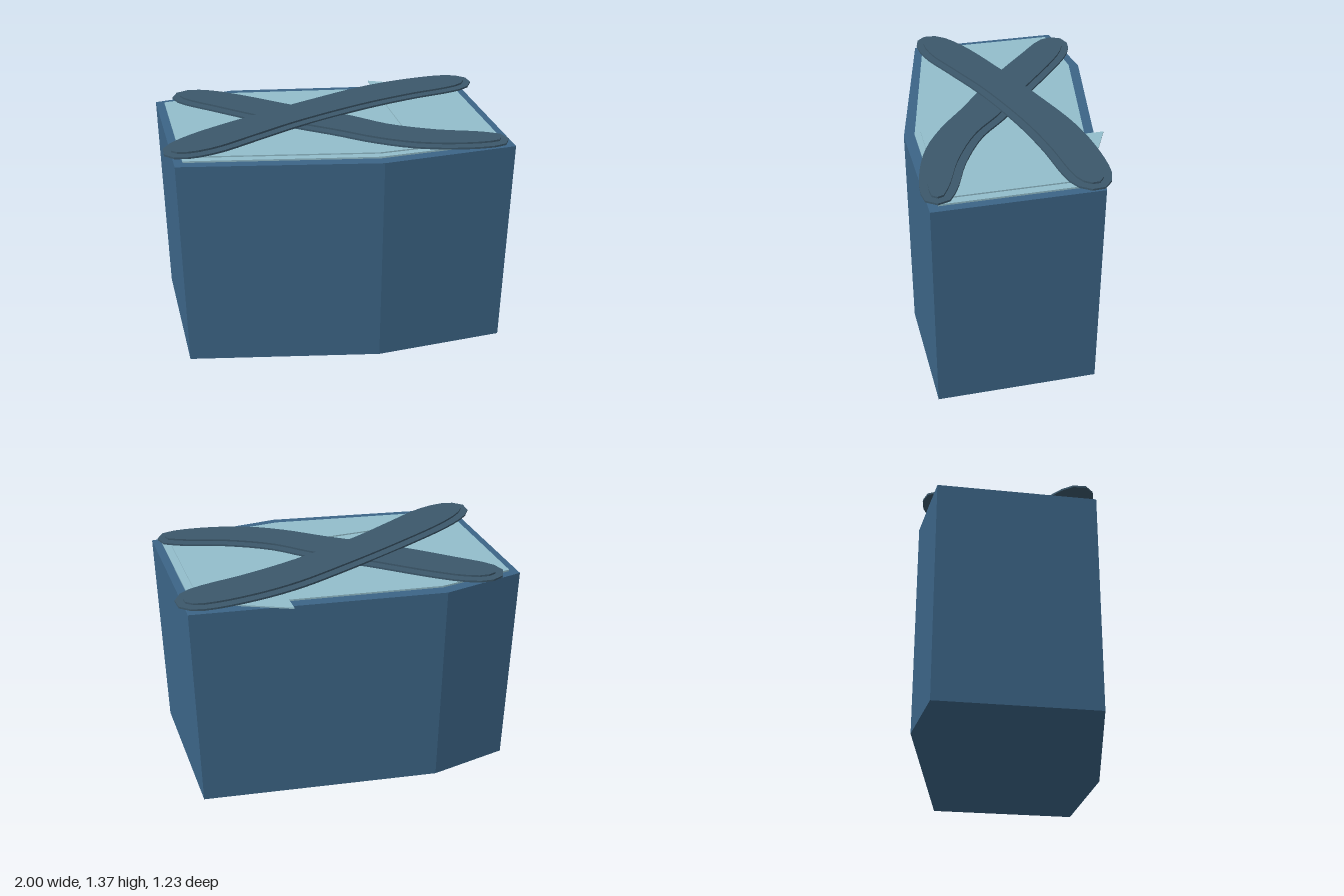
import * as THREE from 'three';

const mat = (name, color) => {
  const m = new THREE.MeshStandardMaterial({ color });
  m.name = name;
  return m;
};

// Upright slab from a plan outline given as [x, z] corners
function slab(name, outline, y, height, material) {
  const shape = new THREE.Shape(outline.map(([x, z]) => new THREE.Vector2(x, -z)));
  const geo = new THREE.ExtrudeGeometry(shape, { depth: height, bevelEnabled: false });
  geo.rotateX(-Math.PI / 2);
  geo.translate(0, y, 0);
  const mesh = new THREE.Mesh(geo, material);
  mesh.name = name;
  return mesh;
}

// Closed smooth outline through clockwise plan points
function smooth(points, samples) {
  const curve = new THREE.CatmullRomCurve3(points.map(([x, z]) => new THREE.Vector3(x, 0, z)), true, 'centripetal');
  return curve.getSpacedPoints(samples).slice(0, samples).map((p) => [p.x, p.z]);
}

// Move every outline point inward along its normal
function inset(outline, d) {
  const n = outline.length;
  return outline.map(([x, z], i) => {
    const a = outline[(i + n - 1) % n], b = outline[(i + 1) % n];
    const dx = b[0] - a[0], dz = b[1] - a[1], l = Math.hypot(dx, dz);
    return [x - (dz / l) * d, z + (dx / l) * d];
  });
}

export function createModel() {
  const model = new THREE.Group();
  model.name = 'block';
  const bodyBlue = mat('bodyBlue', 0x3c6587);
  const paleBlue = mat('paleBlue', 0x92bdcb);
  const slateBlue = mat('slateBlue', 0x3c586b);

  // Six-sided body
  model.add(slab('body', [
    [-0.957, -0.55], [-0.47, -0.613], [0.955, -0.35], [0.953, 0.588], [0.17, 0.605], [-0.957, 0.363],
  ], 0, 1.31, bodyBlue));

  // Pale top sheet
  model.add(slab('topSheet', [
    [-0.908, -0.51], [-0.47, -0.55], [0.905, -0.305], [0.905, 0.537], [0.17, 0.543], [-0.908, 0.322],
  ], 1.31, 0.01, paleBlue));

  // Angled sheet above it, with a corner overhanging the back
  model.add(slab('cornerSheet', [
    [0.4, -0.505], [0.862, -0.28], [0.862, 0.51], [0.17, 0.508], [-0.86, 0.295], [-0.75, 0.2], [0.4, 0.25],
  ], 1.322, 0.008, paleBlue));

  // Two crossing bands, each with a narrower plate on top
  const lowerPoints = [
    [-0.82, -0.593], [-0.725, -0.616], [-0.6, -0.572], [-0.45, -0.468], [-0.14, -0.21], [0.14, 0.01],
    [0.32, 0.18], [0.57, 0.325], [0.81, 0.418], [0.915, 0.485], [0.925, 0.545], [0.89, 0.597],
    [0.81, 0.612], [0.62, 0.588], [0.38, 0.513], [0.165, 0.385], [-0.02, 0.235], [-0.2, 0.1],
    [-0.45, -0.1], [-0.66, -0.29], [-0.8, -0.42], [-0.855, -0.51],
  ];
  const upperPoints = [
    [-1, 0.22], [-0.95, 0.158], [-0.8, 0.062], [-0.42, -0.1], [-0.02, -0.247], [0.3, -0.35],
    [0.54, -0.394], [0.81, -0.407], [0.93, -0.385], [0.998, -0.325], [0.998, -0.245], [0.94, -0.18],
    [0.83, -0.145], [0.57, -0.107], [0.25, -0.035], [-0.18, 0.107], [-0.45, 0.225], [-0.72, 0.34],
    [-0.9, 0.36], [-0.995, 0.315],
  ];
  for (const [name, points, y] of [['lowerBand', lowerPoints, 1.33], ['upperBand', upperPoints, 1.35]]) {
    const outline = smooth(points, 60);
    const band = new THREE.Group();
    band.name = name;
    band.add(slab(name + 'Base', outline, y, 0.011, slateBlue));
    band.add(slab(name + 'Plate', inset(outline, 0.045), y + 0.011, 0.011, slateBlue));
    model.add(band);
  }
  return model;
}
